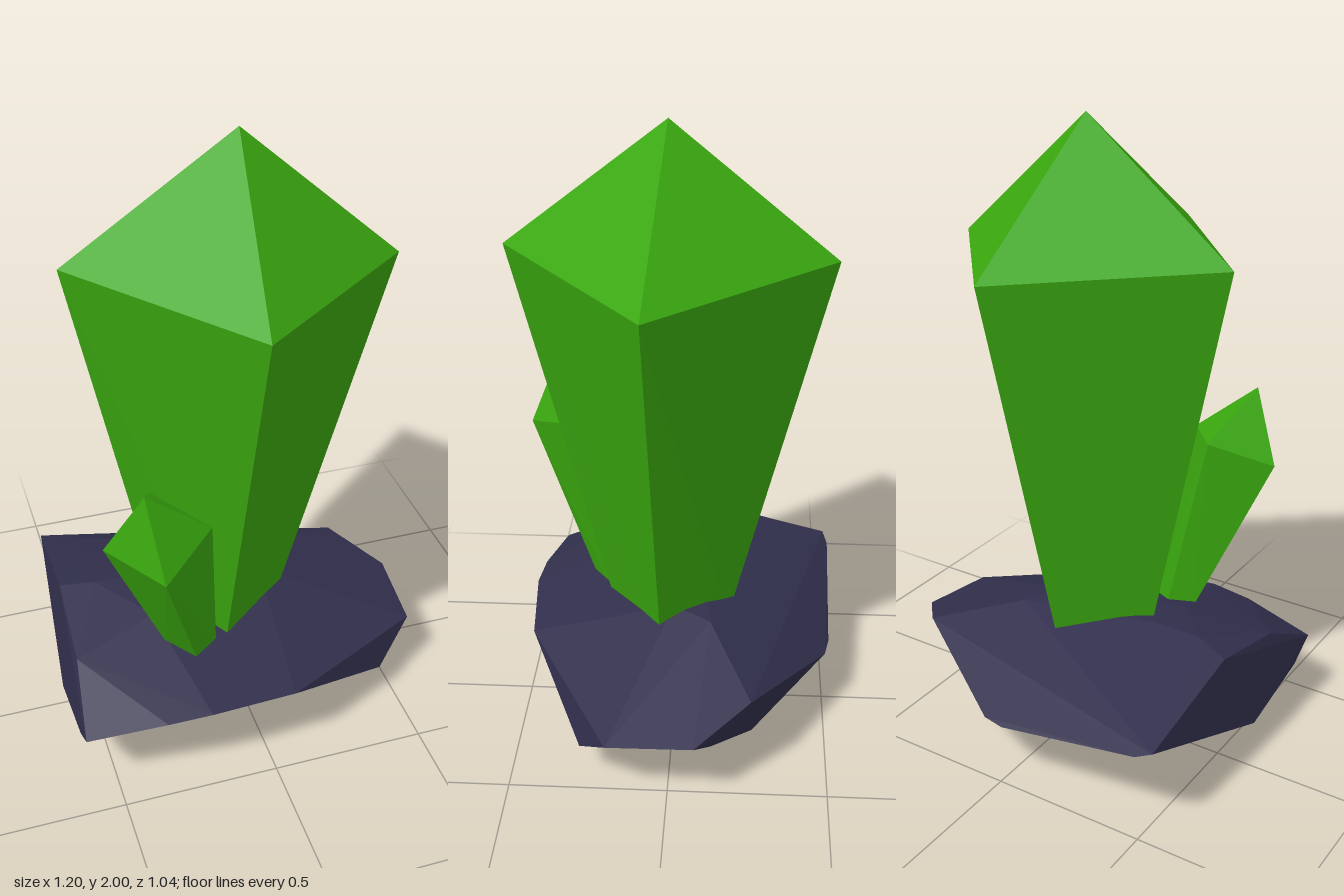
import * as THREE from 'three';
import { ConvexGeometry } from 'three/addons/geometries/ConvexGeometry.js';

const crystalGreen = new THREE.MeshStandardMaterial({ color: 0x3aa80f, flatShading: true });
crystalGreen.name = 'crystal green';
const rockSlate = new THREE.MeshStandardMaterial({ color: 0x312f4c, flatShading: true });
rockSlate.name = 'rock slate';

// Faceted solid spanned by its corner points
function facetedMesh(name, corners, material) {
  const points = corners.map((c) => (c.isVector3 ? c : new THREE.Vector3(...c)));
  const mesh = new THREE.Mesh(new ConvexGeometry(points), material);
  mesh.name = name;
  return mesh;
}

// Four-sided shard: pointed tip, wide shoulder ring, narrow foot sunk into the rock
function crystal(name, tip, shoulder, foot, sink) {
  const corners = [tip, ...shoulder];
  foot.forEach((f, i) => {
    const top = new THREE.Vector3(...shoulder[i]);
    corners.push(top.lerp(new THREE.Vector3(...f), 1 + sink));
  });
  return facetedMesh(name, corners, crystalGreen);
}

export function createModel() {
  const model = new THREE.Group();
  model.name = 'crystalCluster';

  // Rings run left, front, right, back as seen from the front
  model.add(crystal('largeCrystal', [0.02, 2.0, 0.02],
    [[-0.5, 1.62, -0.03], [-0.05, 1.6, 0.52], [0.5, 1.575, 0.07], [0.055, 1.6, -0.48]],
    [[-0.25, 0.4, -0.01], [-0.08, 0.39, 0.23], [0.17, 0.41, 0.045], [0.0, 0.41, -0.195]], 0.07));

  model.add(crystal('smallCrystal', [-0.38, 1.11, 0.41],
    [[-0.49, 0.89, 0.33], [-0.35, 0.86, 0.51], [-0.175, 0.94, 0.385], [-0.315, 0.97, 0.205]],
    [[-0.3, 0.42, 0.22], [-0.21, 0.38, 0.3], [-0.125, 0.4, 0.245], [-0.215, 0.42, 0.165]], 0.12));

  // Rough boulder base
  model.add(facetedMesh('rockBase', [
    // upper surface
    [-0.56, 0.43, -0.1], [-0.45, 0.45, -0.06], [-0.3, 0.45, -0.06], [-0.3, 0.42, 0.12],
    [0.1, 0.425, 0.0], [0.17, 0.415, -0.12], [-0.57, 0.37, 0.2],
    // back rim
    [-0.55, 0.33, -0.51], [-0.5, 0.31, -0.525], [-0.02, 0.22, -0.515], [0.055, 0.22, -0.5],
    // right rim
    [0.455, 0.32, -0.255], [0.6, 0.25, -0.085], [0.58, 0.23, 0.185], [0.445, 0.12, 0.28],
    // front and left rim
    [0.07, 0.285, 0.47], [-0.21, 0.3, 0.495], [-0.35, 0.29, 0.485], [-0.6, 0.25, 0.44],
    [-0.6, 0.19, 0.34],
    // underside
    [-0.6, 0.125, 0.05], [-0.45, 0.04, 0.13], [-0.08, 0, 0.15], [0.39, 0.09, -0.13],
    [0.29, 0.08, -0.26],
  ], rockSlate));

  return model;
}
